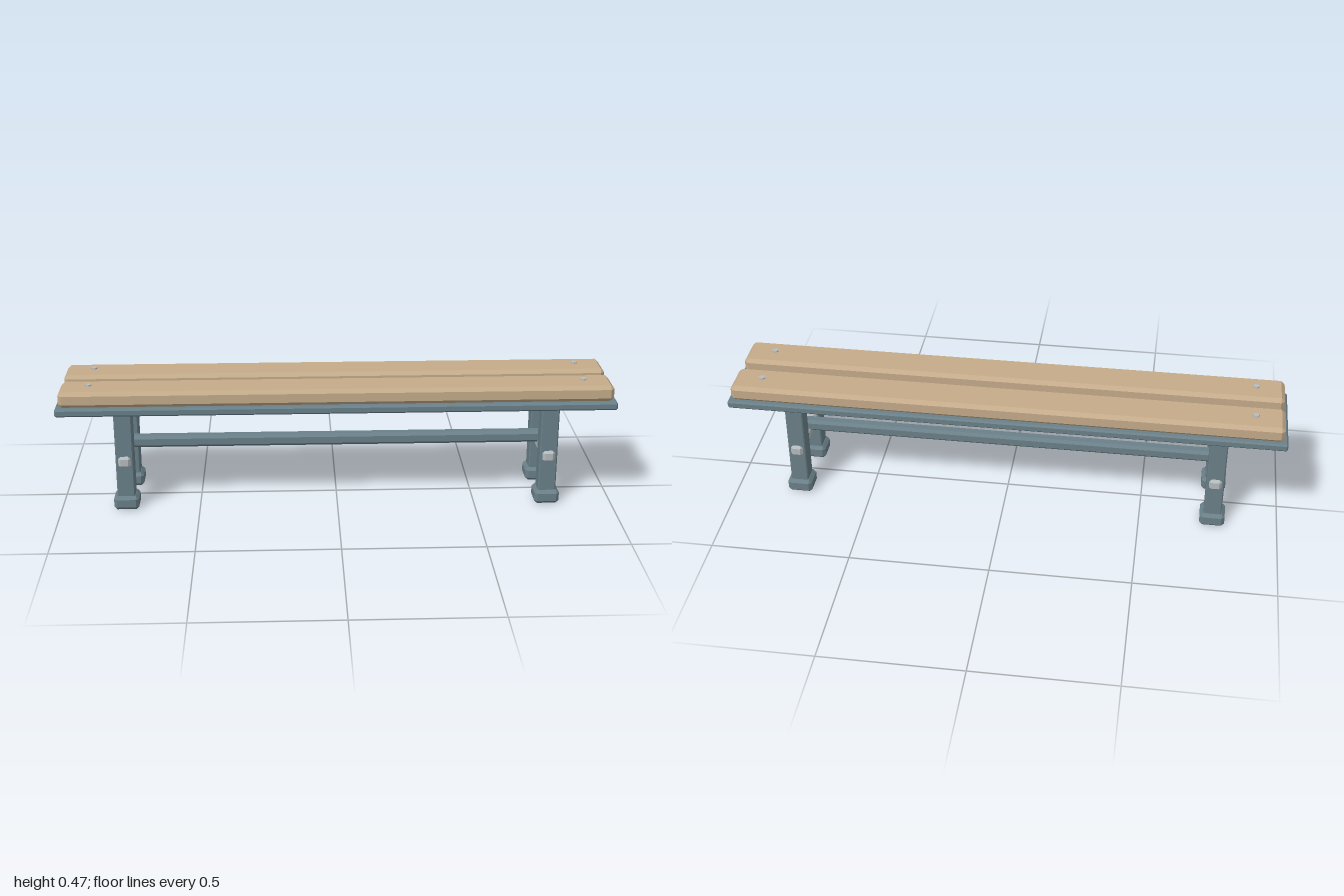
import * as THREE from 'three';
import { ConvexGeometry } from 'three/addons/geometries/ConvexGeometry.js';

// Box with every edge chamfered by c
function chamferBox(w, h, d, c) {
  const pts = [];
  for (const sx of [-1, 1]) for (const sy of [-1, 1]) for (const sz of [-1, 1]) {
    const x = w / 2, y = h / 2, z = d / 2;
    pts.push(
      new THREE.Vector3(sx * x, sy * (y - c), sz * (z - c)),
      new THREE.Vector3(sx * (x - c), sy * y, sz * (z - c)),
      new THREE.Vector3(sx * (x - c), sy * (y - c), sz * z));
  }
  return new ConvexGeometry(pts);
}

export function createModel() {
  const model = new THREE.Group();
  model.name = 'bench';
  const material = (name, color) => {
    const m = new THREE.MeshStandardMaterial({ color, flatShading: true });
    m.name = name;
    return m;
  };
  const wood = material('wood', 0xc4ab8a);
  const paint = material('paintedSteel', 0x6a8088);
  const metal = material('bareMetal', 0xb4bbbe);

  const add = (name, geometry, mat, x, y, z) => {
    const mesh = new THREE.Mesh(geometry, mat);
    mesh.name = name;
    mesh.position.set(x, y, z);
    model.add(mesh);
  };

  // Seat plate and long stretcher
  add('seatPlate', chamferBox(2, 0.029, 0.332, 0.006), paint, 0, 0.3815, 0);
  add('stretcher', chamferBox(1.54, 0.044, 0.045, 0.01), paint, 0, 0.212, 0);

  const plank = chamferBox(1.972, 0.058, 0.138, 0.013);
  const screw = new THREE.CylinderGeometry(0.0115, 0.0115, 0.005, 8);
  const leg = chamferBox(0.064, 0.336, 0.064, 0.004);
  const foot = chamferBox(0.09, 0.051, 0.09, 0.011);
  const crossbar = chamferBox(0.045, 0.043, 0.3, 0.009);

  // Planks with a screw head near each end
  for (const sz of [1, -1]) {
    add('plank', plank, wood, 0, 0.427, sz * 0.092);
    for (const sx of [1, -1]) add('screw', screw, metal, sx * 0.883, 0.4625, sz * 0.092);
  }

  // Leg pairs joined by crossbars
  for (const sx of [1, -1]) {
    add('crossbar', crossbar, metal, sx * 0.765, 0.1835, 0);
    for (const sz of [1, -1]) {
      add('leg', leg, paint, sx * 0.765, 0.205, sz * 0.108);
      add('foot', foot, paint, sx * 0.765, 0.0255, sz * 0.108);
    }
  }
  return model;
}
